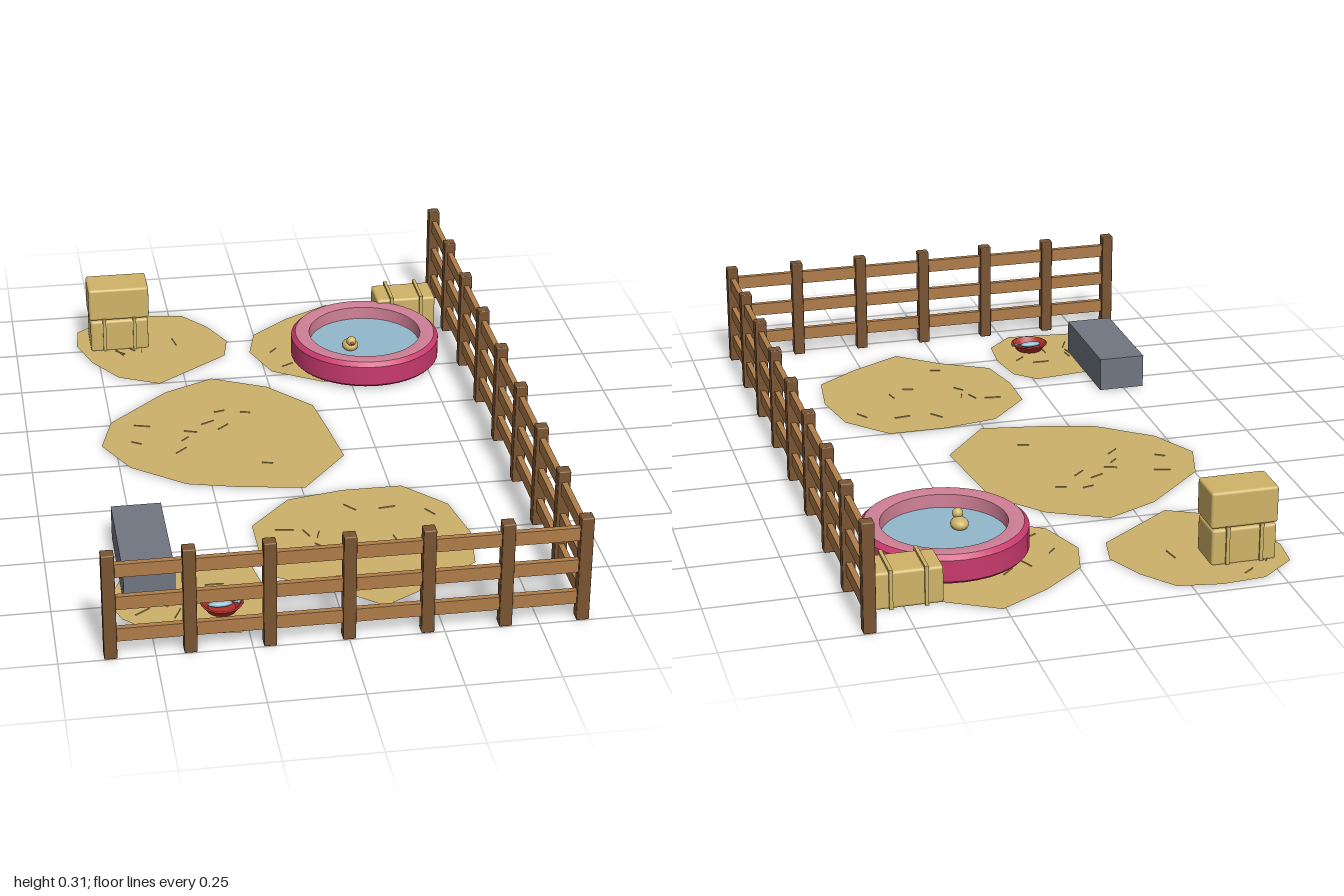
import * as THREE from 'three';
import { toCreasedNormals } from 'three/addons/utils/BufferGeometryUtils.js';
import { RoundedBoxGeometry } from 'three/addons/geometries/RoundedBoxGeometry.js';

const mat = (name, color, side = THREE.FrontSide) => {
  const m = new THREE.MeshStandardMaterial({ color, side });
  m.name = name;
  return m;
};

export function createModel() {
  const root = new THREE.Group();
  root.name = 'animalPen';
  const M = {
    post: mat('darkWood', 0x7a5432),
    rail: mat('lightWood', 0xb07d4a),
    straw: mat('straw', 0xcdb16a, THREE.DoubleSide),
    bale: mat('hay', 0xd0b468),
    stone: mat('greyMetal', 0x707682),
    wall: mat('hotPink', 0xc83a6c),
    rim: mat('palePink', 0xcf7f96),
    water: mat('water', 0x92b8cc),
    bowl: mat('red', 0xb0322a),
    beak: mat('orange', 0xd07a2c),
  };
  const group = (name, x = 0, y = 0, z = 0) => {
    const g = new THREE.Group();
    g.name = name;
    g.position.set(x, y, z);
    root.add(g);
    return g;
  };
  const add = (parent, name, geo, material, x = 0, y = 0, z = 0) => {
    const m = new THREE.Mesh(geo, material);
    m.name = name;
    m.position.set(x, y, z);
    parent.add(m);
    return m;
  };
  const box = (w, h, d) => new THREE.BoxGeometry(w, h, d);
  const lathe = (pts, n) => toCreasedNormals(
    new THREE.LatheGeometry(pts.map(p => new THREE.Vector2(...p)), n), 0.5);

  // Fence along the front and the left side, sharing a corner post
  const FX = 0.615, FZ = 0.983;
  const fence = group('fence');
  const post = (x, z) => add(fence, 'fencePost', new RoundedBoxGeometry(0.034, 0.305, 0.034, 1, 0.003), M.post, x, 0.1525, z);
  for (let i = 0; i < 7; i++) post(-FX + i * FX / 3, FZ);
  for (let i = 0; i < 8; i++) post(FX, -FZ + i * FZ / 4);
  for (const y of [0.066, 0.16, 0.255]) {
    add(fence, 'frontRail', box(2 * FX, 0.038, 0.016), M.rail, 0, y, FZ);
    add(fence, 'sideRail', box(0.016, 0.038, 2 * FZ), M.rail, FX, y, 0);
  }

  // Flat straw patches as x, z outlines
  const patches = [
    [-0.45, -0.96, -0.33, -0.97, -0.21, -0.95, -0.14, -0.86, -0.09, -0.75, -0.11, -0.65, -0.33, -0.49, -0.45, -0.55, -0.52, -0.66, -0.56, -0.78, -0.55, -0.88],
    [0.26, -0.96, 0.4, -0.88, 0.5, -0.74, 0.5, -0.6, 0.42, -0.47, 0.28, -0.41, 0.16, -0.43, 0.02, -0.52, -0.03, -0.66, 0, -0.78, 0.12, -0.88],
    [-0.17, -0.5, -0.01, -0.42, 0.11, -0.28, 0.13, -0.13, 0.15, 0.04, 0.01, 0.21, -0.17, 0.18, -0.32, 0.14, -0.47, 0.02, -0.54, -0.12, -0.5, -0.26, -0.32, -0.43],
    [0.11, 0.24, 0.28, 0.24, 0.39, 0.36, 0.42, 0.52, 0.4, 0.68, 0.28, 0.77, 0.12, 0.86, 0, 0.76, -0.14, 0.68, -0.17, 0.54, -0.17, 0.4, -0.05, 0.27],
    [-0.26, 0.55, -0.2, 0.61, -0.18, 0.73, -0.19, 0.85, -0.27, 0.93, -0.48, 0.91, -0.57, 0.82, -0.6, 0.73, -0.55, 0.61, -0.42, 0.57],
  ];
  let seed = 7;
  const rnd = () => (seed = (seed * 16807) % 2147483647) / 2147483647;
  const strawBed = group('strawBed');
  for (const p of patches) {
    const pts = [];
    for (let i = 0; i < p.length; i += 2) pts.push(new THREE.Vector2(p[i], -p[i + 1]));
    const patch = new THREE.ShapeGeometry(new THREE.Shape(pts)).rotateX(-Math.PI / 2);
    add(strawBed, 'strawPatch', patch, M.straw, 0, 0.004, 0);
    // Loose stalks lying inside the patch
    const c = pts.reduce((a, v) => a.add(v), new THREE.Vector2()).divideScalar(pts.length);
    for (let i = 0; i < 10; i++) {
      const v = c.clone().lerp(pts[Math.floor(rnd() * pts.length)], 0.15 + 0.65 * rnd());
      const stalk = add(strawBed, 'strawStalk', box(0.03 + 0.02 * rnd(), 0.003, 0.002), M.straw, v.x, 0.0055, -v.y);
      stalk.rotation.y = rnd() * Math.PI;
    }
  }

  // Hay bales: one stacked pair and one single
  const bale = (x, y, z, w, straps) => {
    const g = group('hayBale', x, y, z);
    add(g, 'baleBody', new RoundedBoxGeometry(w, 0.104, 0.115, 2, 0.008), M.bale, 0, 0.052, 0);
    if (straps) for (const s of [-1, 1])
      add(g, 'baleStrap', box(0.01, 0.112, 0.127), M.bale, s * 0.047, 0.056, 0);
  };
  bale(-0.427, 0, -0.8, 0.18, true);
  bale(-0.427, 0.107, -0.8, 0.187, false);
  bale(0.487, 0, -0.82, 0.186, true);

  // Paddling pool
  const pool = group('paddlingPool', 0.32, 0, -0.58);
  add(pool, 'poolWall', lathe([[0, 0.013], [0.222, 0.013], [0.228, 0.02], [0.228, 0.08], [0.215, 0.092]], 40), M.wall);
  add(pool, 'poolRim', lathe([[0.215, 0.092], [0.2, 0.094], [0.172, 0.09], [0.17, 0.045]], 40), M.rim);
  add(pool, 'poolWater', new THREE.CircleGeometry(0.171, 40).rotateX(-Math.PI / 2), M.water, 0, 0.052, 0);

  // Toy duck floating in the pool, facing the front
  const duck = group('toyDuck', 0.27, 0.052, -0.55);
  const ball = (rx, ry, rz) => new THREE.SphereGeometry(1, 16, 12).scale(rx, ry, rz);
  add(duck, 'duckBody', ball(0.025, 0.018, 0.029), M.bale, 0, 0.011, 0);
  add(duck, 'duckHead', ball(0.015, 0.015, 0.015), M.bale, 0, 0.033, 0.02);
  add(duck, 'duckBeak', new THREE.ConeGeometry(0.007, 0.014, 8).rotateX(Math.PI / 2), M.beak, 0, 0.031, 0.038);

  // Trough block
  add(root, 'trough', box(0.137, 0.1, 0.35), M.stone, -0.49, 0.055, 0.583);

  // Food bowl with a fish
  const bowl = group('foodBowl', -0.307, 0, 0.81);
  add(bowl, 'bowl', lathe([[0, 0], [0.036, 0], [0.057, 0.026], [0.052, 0.028], [0.036, 0.01], [0, 0.01]], 24), M.bowl);
  add(bowl, 'fishBody', ball(0.033, 0.008, 0.012), M.water, -0.004, 0.02, 0);
  add(bowl, 'fishTail', new THREE.ConeGeometry(0.013, 0.034, 4).scale(1, 1, 0.4)
    .rotateX(Math.PI / 2).rotateY(-Math.PI / 2), M.water, 0.04, 0.023, 0);

  return root;
}
